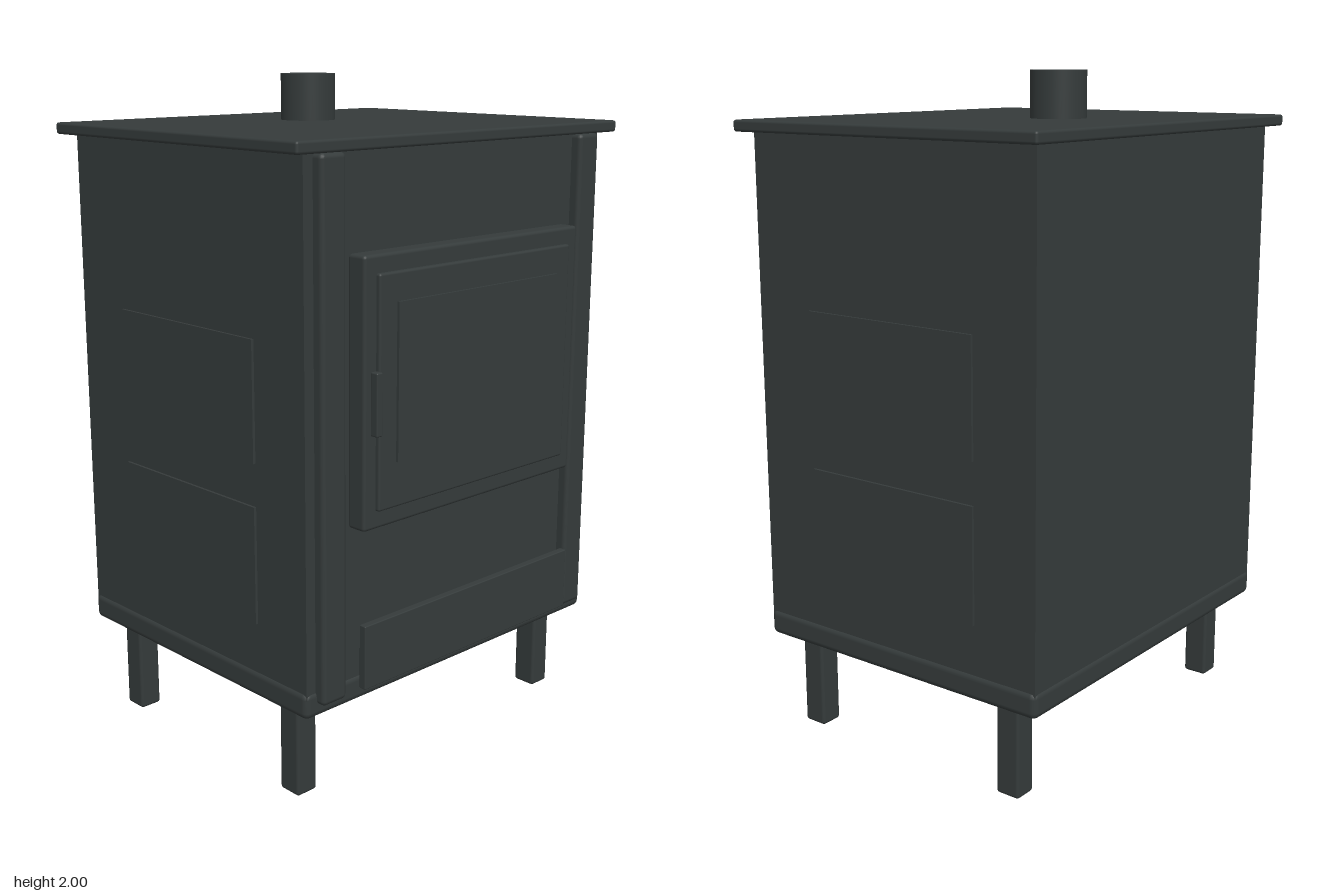
import * as THREE from 'three';
import { RoundedBoxGeometry } from 'three/addons/geometries/RoundedBoxGeometry.js';

export function createModel() {
  const stove = new THREE.Group();
  stove.name = 'woodStove';
  const iron = new THREE.MeshStandardMaterial({ color: 0x353b3b });
  iron.name = 'castIron';

  const add = (name, geometry, x, y, z) => {
    const mesh = new THREE.Mesh(geometry, iron);
    mesh.name = name;
    mesh.position.set(x, y, z);
    stove.add(mesh);
  };
  // Box given by its extents, with softened edges when bevel > 0
  const box = (name, [x0, x1], [y0, y1], [z0, z1], bevel = 0) => {
    const size = [x1 - x0, y1 - y0, z1 - z0];
    const geometry = bevel
      ? new RoundedBoxGeometry(...size, 2, bevel)
      : new THREE.BoxGeometry(...size);
    add(name, geometry, (x0 + x1) / 2, (y0 + y1) / 2, (z0 + z1) / 2);
  };

  // Firebox, base tray and top plate
  box('body', [-0.6, 0.6], [0.33, 1.84], [-0.535, 0.475]);
  box('base', [-0.607, 0.607], [0.285, 0.365], [-0.54, 0.48], 0.02);
  box('topPlate', [-0.65, 0.65], [1.828, 1.862], [-0.571, 0.509], 0.008);

  // Flue collar
  add('flue', new THREE.CylinderGeometry(0.083, 0.083, 0.15, 48), 0, 1.925, -0.172);

  // Legs, front posts and side panels, mirrored left and right
  for (const s of [-1, 1]) {
    const side = s < 0 ? 'right' : 'left';
    const span = (a, b) => (s < 0 ? [-b, -a] : [a, b]);
    box(side + 'FrontLeg', span(0.487, 0.56), [0, 0.29], [0.312, 0.39], 0.01);
    box(side + 'BackLeg', span(0.487, 0.56), [0, 0.29], [-0.448, -0.37], 0.01);
    box(side + 'FrontPost', span(0.478, 0.567), [0.325, 1.828], [0.455, 0.508], 0.014);
    box(side + 'UpperPanel', span(0.59, 0.608), [0.98, 1.327], [-0.327, 0.272]);
    box(side + 'LowerPanel', span(0.59, 0.608), [0.51, 0.855], [-0.327, 0.272]);
  }

  // Stepped door
  box('doorFrame', [-0.442, 0.442], [0.808, 1.562], [0.47, 0.534], 0.01);
  box('doorInnerFrame', [-0.398, 0.394], [0.86, 1.512], [0.52, 0.547], 0.007);
  box('doorWindow', [-0.333, 0.33], [0.99, 1.432], [0.54, 0.555]);
  box('doorHandle', [-0.428, 0.428 - 0.834], [1.08, 1.255], [0.543, 0.569], 0.004);

  // Ash drawer front
  box('ashDrawer', [-0.442, 0.442], [0.348, 0.537], [0.518, 0.541], 0.003);

  return stove;
}
